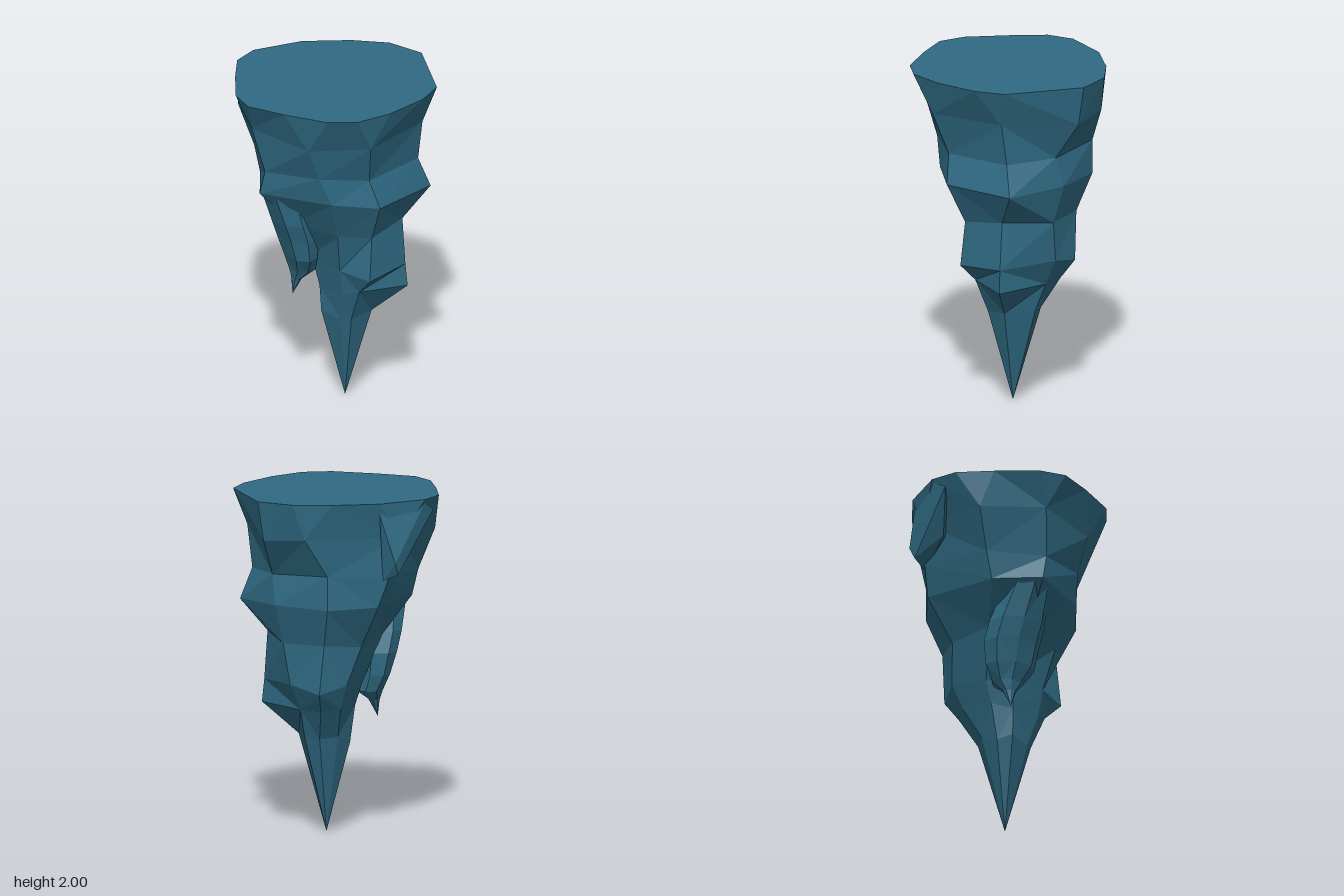
import * as THREE from 'three';
import { ConvexGeometry } from 'three/addons/geometries/ConvexGeometry.js';

const rock = new THREE.MeshStandardMaterial({ color: 0x2f6a83, flatShading: true });
const SIDES = 8;

// Flat top outline (x, z); each corner hangs on one of the eight columns below
const rim = [
  [0.605, -0.13], [0.5, 0.335], [0.36, 0.455], [0.11, 0.56], [-0.11, 0.595],
  [-0.27, 0.53], [-0.46, 0.33], [-0.605, 0.145], [-0.61, -0.02], [-0.51, -0.26],
  [-0.41, -0.46], [-0.27, -0.55], [0.035, -0.55], [0.3, -0.45], [0.49, -0.33],
];
const rimColumn = (k) => Math.ceil(k / 2) % SIDES;

// Cross-sections of the main body: left, front left, front ... back left
const bodySections = [
  { y: 1.79, pts: [[0.56, -0.12], [0.42, 0.31], [0, 0.53], [-0.33, 0.39], [-0.54, 0.05], [-0.46, -0.33], [-0.1, -0.54], [0.42, -0.35]] },
  { y: 1.55, pts: [[0.45, -0.03], [0.41, 0.27], [0.03, 0.44], [-0.25, 0.36], [-0.47, 0.08], [-0.39, -0.26], [-0.05, -0.51], [0.28, -0.37]] },
  { y: 1.38, pts: [[0.46, -0.08], [0.48, 0.29], [0.08, 0.48], [-0.18, 0.38], [-0.49, 0.05], [-0.37, -0.22], [0, -0.47], [0.28, -0.37]] },
  { y: 1.15, pts: [[0.39, -0.05], [0.32, 0.25], [0.08, 0.36], [-0.1, 0.28], [-0.28, 0.05], [-0.2, -0.17], [0.02, -0.31], [0.25, -0.28]] },
  { y: 0.88, pts: [[0.36, -0.08], [0.33, 0.27], [0.06, 0.38], [-0.06, 0.22], [-0.14, 0], [-0.08, -0.14], [0.1, -0.28], [0.27, -0.26]] },
  { y: 0.73, pts: [[0.28, -0.06], [0.34, 0.28], [0.04, 0.27], [-0.03, 0.2], [-0.1, 0.02], [-0.06, -0.1], [0.1, -0.21], [0.22, -0.19]] },
  { y: 0.55, pts: [[0.23, -0.02], [0.17, 0.15], [0.03, 0.18], [-0.02, 0.14], [-0.09, 0.02], [-0.05, -0.06], [0.06, -0.11], [0.17, -0.09]] },
];

// Side tooth: y, centre x, centre z, half width, half depth
const toothSections = [
  [1.4, -0.32, 0.02, 0.15, 0.13],
  [1.17, -0.26, -0.02, 0.125, 0.17],
  [1.05, -0.22, -0.04, 0.12, 0.17],
  [0.92, -0.2, -0.04, 0.095, 0.15],
  [0.82, -0.18, -0.05, 0.08, 0.09],
  [0.76, -0.215, -0.05, 0.03, 0.04],
  [0.66, -0.24, -0.05, 0, 0],
];

function seeded(seed) {
  return () => {
    seed = (seed * 16807) % 2147483647;
    return seed / 2147483647 - 0.5;
  };
}

const expand = (ring) => rim.map((_, k) => ring[rimColumn(k)]);

// Faceted skin over rings of equal length, top to bottom, closed at the top
function loft(name, rings) {
  const pos = [];
  const tri = (a, b, c) => {
    if (a.distanceTo(b) > 1e-5 && b.distanceTo(c) > 1e-5 && c.distanceTo(a) > 1e-5) {
      for (const v of [a, b, c]) pos.push(v.x, v.y, v.z);
    }
  };
  const count = rings[0].length;
  const centre = new THREE.Vector3();
  rings[0].forEach((v) => centre.addScaledVector(v, 1 / count));
  for (let k = 0; k < count; k++) {
    const n = (k + 1) % count;
    tri(centre, rings[0][n], rings[0][k]);
    for (let i = 0; i < rings.length - 1; i++) {
      const a = rings[i][k], b = rings[i][n], c = rings[i + 1][n], d = rings[i + 1][k];
      // split along the shorter diagonal
      if (a.distanceTo(c) < b.distanceTo(d)) { tri(a, b, c); tri(a, c, d); }
      else { tri(a, b, d); tri(b, c, d); }
    }
  }
  const geo = new THREE.BufferGeometry();
  geo.setAttribute('position', new THREE.Float32BufferAttribute(pos, 3));
  geo.computeVertexNormals();
  const mesh = new THREE.Mesh(geo, rock);
  mesh.name = name;
  return mesh;
}

export function createModel() {
  const group = new THREE.Group();
  group.name = 'hangingRockSpike';

  // Main body from the flat rim down to the tip, corners slightly uneven in height
  const rand = seeded(11);
  const tip = new THREE.Vector3(0.055, 0, 0.03);
  group.add(loft('mainSpike', [
    rim.map(([x, z]) => new THREE.Vector3(x, 2, z)),
    ...bodySections.map(({ y, pts }) =>
      expand(pts.map(([x, z]) => new THREE.Vector3(x, y + rand() * 0.05, z)))),
    rim.map(() => tip),
  ]));

  // Small second tooth on the right-hand side
  group.add(loft('sideTooth', toothSections.map(([y, cx, cz, rx, rz]) =>
    Array.from({ length: SIDES }, (_, k) => {
      const a = (k / SIDES) * Math.PI * 2;
      return new THREE.Vector3(cx + rx * Math.cos(a), y, cz + rz * Math.sin(a));
    }))));

  // Bulge under the rear rim
  const bulge = [
    [-0.04, 1.65, -0.6], [-0.07, 1.58, -0.58], [-0.02, 1.53, -0.49], [0.03, 1.93, -0.54],
    [-0.27, 1.98, -0.54], [-0.35, 1.93, -0.5], [-0.22, 1.68, -0.46], [-0.1, 1.7, -0.35],
  ].map((p) => new THREE.Vector3(...p));
  const rearBulge = new THREE.Mesh(new ConvexGeometry(bulge), rock);
  rearBulge.name = 'rearBulge';
  group.add(rearBulge);

  return group;
}
